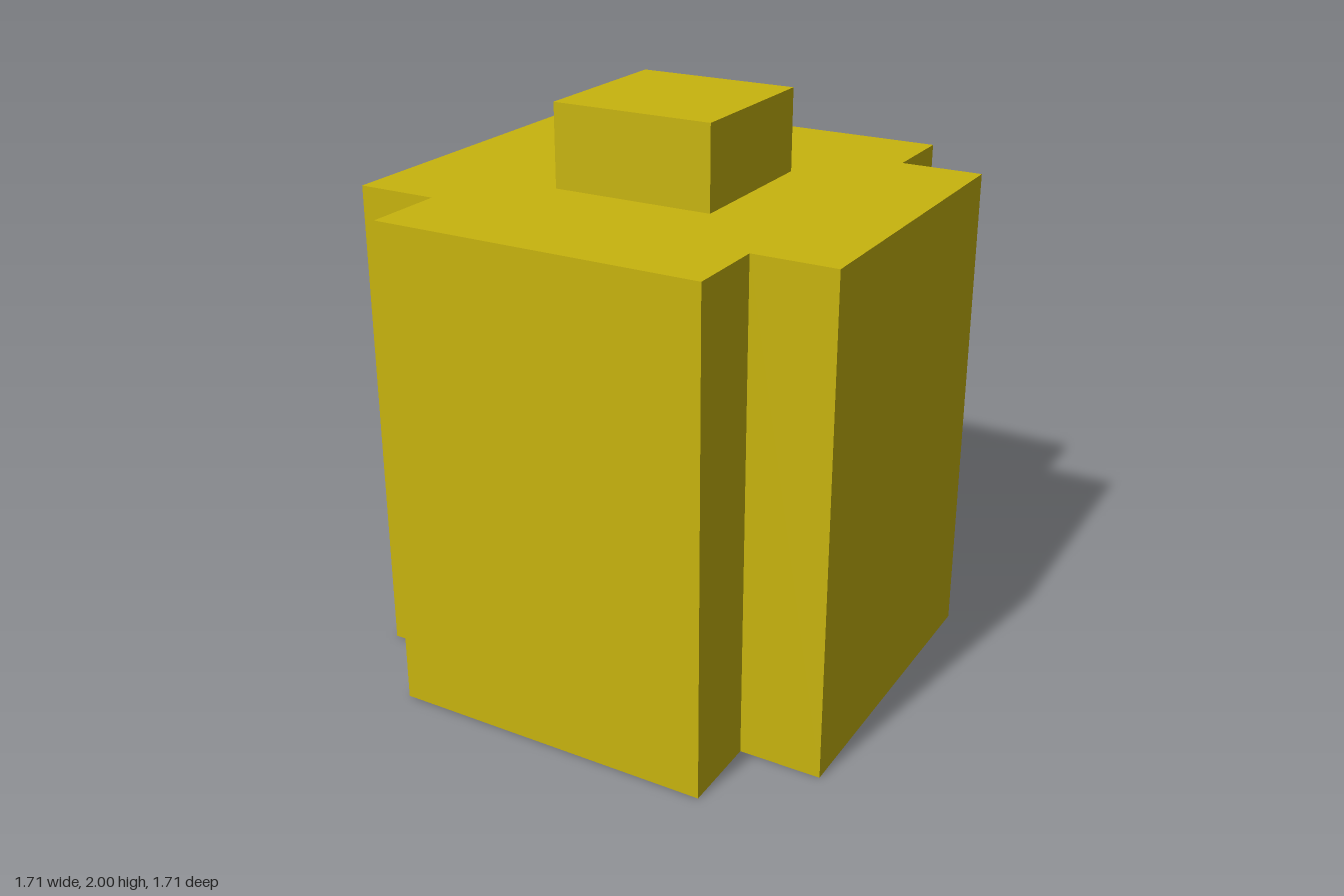
import * as THREE from 'three';

const UNIT = 2 / 7; // the whole model sits on a seven-unit-high block grid

export function createModel() {
  const model = new THREE.Group();
  model.name = 'blockCanister';

  const mustard = new THREE.MeshStandardMaterial({ color: 0xc8b40e });
  mustard.name = 'mustard yellow';

  // Body: square prism with a one-unit notch cut from each upright corner
  const outer = 3 * UNIT, inner = 2 * UNIT, height = 6 * UNIT;
  const corner = [[outer, -inner], [outer, inner], [inner, inner], [inner, outer]];
  const outline = [];
  for (const [sx, sy] of [[1, 1], [-1, 1], [-1, -1], [1, -1]]) {
    const points = [[outer, inner], [inner, inner], [inner, outer]]
      .map(([x, y]) => new THREE.Vector2(sx * x, sy * y));
    // Mirrored corners are walked backwards to keep the outline continuous
    outline.push(...(sx * sy > 0 ? points : points.reverse()));
  }
  const bodyGeometry = new THREE.ExtrudeGeometry(new THREE.Shape(outline), {
    depth: height, bevelEnabled: false,
  });
  bodyGeometry.rotateX(-Math.PI / 2);
  const body = new THREE.Mesh(bodyGeometry, mustard);
  body.name = 'body';
  model.add(body);

  // Knob: small square block centred on the lid
  const knob = new THREE.Mesh(new THREE.BoxGeometry(2 * UNIT, UNIT, 2 * UNIT), mustard);
  knob.name = 'topKnob';
  knob.position.y = height + UNIT / 2;
  model.add(knob);

  return model;
}
